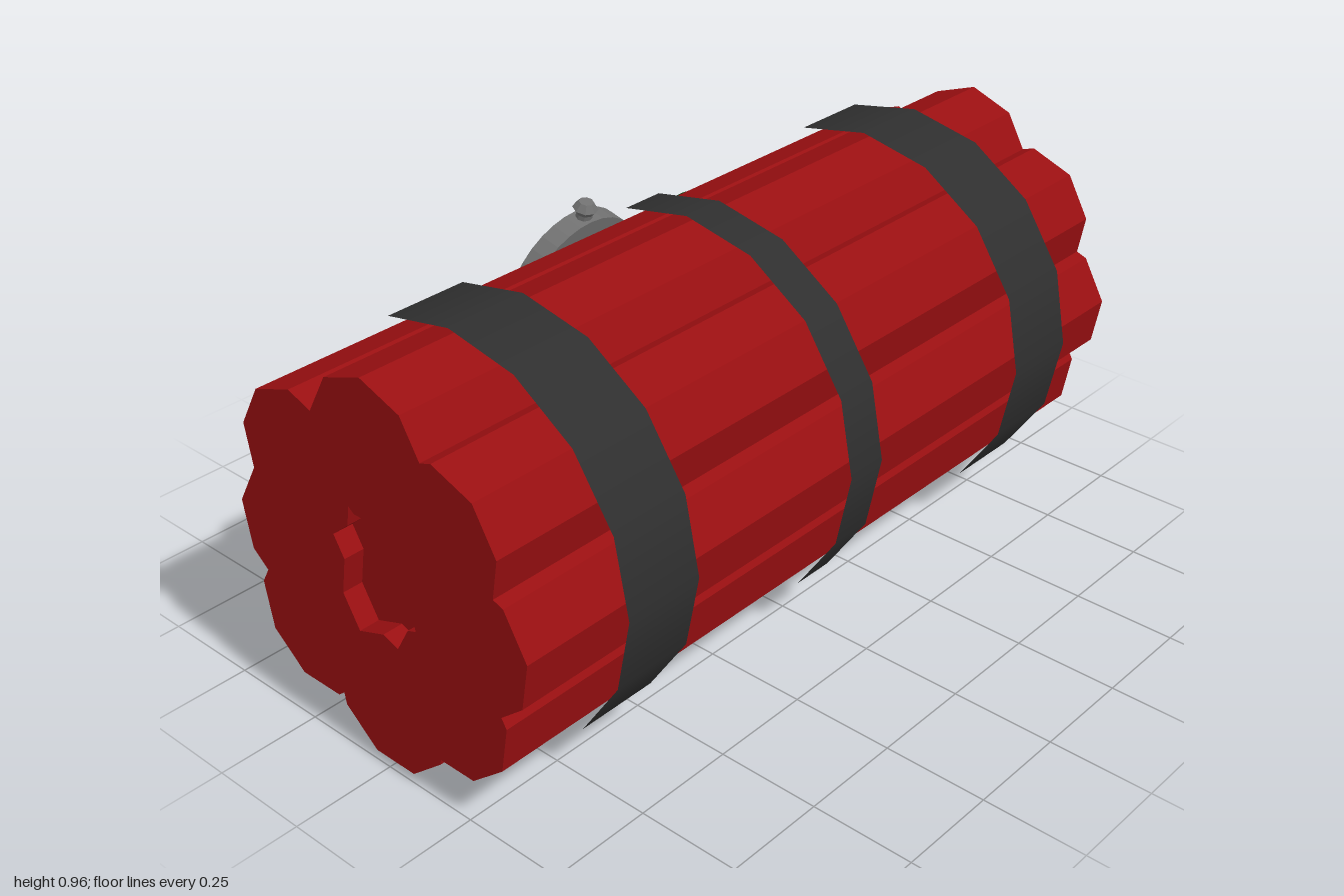
import * as THREE from 'three';

const mat = (color, flatShading = false) => new THREE.MeshStandardMaterial({ color, flatShading });
const RED = mat(0x990f11, true);
const BLACK = mat(0x2f2f2f);
const STEEL = mat(0x707070, true);
const DIAL = mat(0xaaaaaa);
const HAND = mat(0x222222);

function add(parent, name, geometry, material) {
  const mesh = new THREE.Mesh(geometry, material);
  mesh.name = name;
  parent.add(mesh);
  return mesh;
}

// Nine-sided stick lying along x, one corner pointing up
function stick(parent, name, y, z, length) {
  const geo = new THREE.CylinderGeometry(0.171, 0.171, length, 9, 1, false, -Math.PI / 2);
  geo.rotateZ(-Math.PI / 2);
  add(parent, name, geo, RED).position.set(0, y, z);
}

// Tapered clock hand from the dial centre to a tip
function hand(parent, name, tipX, tipY, width) {
  const length = Math.hypot(tipX, tipY);
  const shape = new THREE.Shape([
    new THREE.Vector2(-width, -0.01),
    new THREE.Vector2(width, -0.01),
    new THREE.Vector2(width, length * 0.4),
    new THREE.Vector2(0, length),
    new THREE.Vector2(-width, length * 0.4),
  ]);
  const mesh = add(parent, name, new THREE.ExtrudeGeometry(shape, { depth: 0.012, bevelEnabled: false }), HAND);
  mesh.position.set(-0.01, 0, 0.026);
  mesh.rotation.z = -Math.atan2(tipX, tipY);
}

function wire(parent, name, color, points) {
  const path = new THREE.CatmullRomCurve3(points.map(p => new THREE.Vector3(...p)));
  const material = mat(color);
  add(parent, name, new THREE.TubeGeometry(path, 20, 0.013, 8), material);
  // Rounded ends
  for (const p of [points[0], points[points.length - 1]])
    add(parent, name + 'End', new THREE.SphereGeometry(0.013, 8, 6), material).position.set(...p);
}

export function createModel() {
  const model = new THREE.Group();
  model.name = 'stickBundle';

  // Ring of eight sticks around a slightly shorter core
  const ring = [
    [0.784, 0.02], [0.671, 0.21], [0.465, 0.279], [0.275, 0.21],
    [0.186, 0.02], [0.275, -0.21], [0.465, -0.252], [0.671, -0.21],
  ];
  ring.forEach(([y, z]) => stick(model, 'stick', y, z, 2));
  stick(model, 'coreStick', 0.48, 0.01, 1.9);

  // Thin straps, open at both ends
  for (const [x, width] of [[-0.657, 0.204], [-0.006, 0.108], [0.671, 0.202]]) {
    const geo = new THREE.CylinderGeometry(0.479, 0.479, width, 16, 1, true);
    geo.rotateZ(-Math.PI / 2);
    add(model, 'strap', geo, BLACK).position.set(x, 0.48, 0.003);
  }

  // Clock on the back, tilted upward, its dial facing local +z
  const clock = new THREE.Group();
  clock.name = 'clock';
  clock.position.set(0, 0.636, -0.42);
  clock.rotation.set(0.232, Math.PI, 0);
  model.add(clock);
  add(clock, 'clockCase', new THREE.CylinderGeometry(0.19, 0.19, 0.054, 32).rotateX(Math.PI / 2), STEEL);
  add(clock, 'clockDial', new THREE.CircleGeometry(0.172, 32), DIAL).position.z = 0.0285;
  hand(clock, 'minuteHand', 0.095, 0.125, 0.014);
  hand(clock, 'hourHand', 0.08, -0.095, 0.016);

  // Winding crown: stem and faceted knob
  add(clock, 'crownStem', new THREE.CylinderGeometry(0.02, 0.02, 0.03, 8), STEEL).position.y = 0.195;
  add(clock, 'crownKnobBase', new THREE.CylinderGeometry(0.031, 0.02, 0.014, 8), STEEL).position.y = 0.207;
  add(clock, 'crownKnobTop', new THREE.CylinderGeometry(0.018, 0.031, 0.018, 8), STEEL).position.y = 0.223;

  // Wires from the clock into the bundle
  wire(model, 'greenWire', 0x0d4a12,
    [[0.15, 0.725, -0.395], [0.25, 0.725, -0.395], [0.28, 0.75, -0.375], [0.3, 0.785, -0.325]]);
  wire(model, 'blueWire', 0x0c0c80,
    [[0.15, 0.54, -0.432], [0.24, 0.535, -0.43], [0.275, 0.545, -0.415], [0.3, 0.565, -0.38]]);
  wire(model, 'yellowWire', 0x85850f,
    [[-0.17, 0.63, -0.428], [-0.27, 0.645, -0.422], [-0.33, 0.685, -0.41], [-0.38, 0.69, -0.408], [-0.43, 0.685, -0.38]]);

  return model;
}
